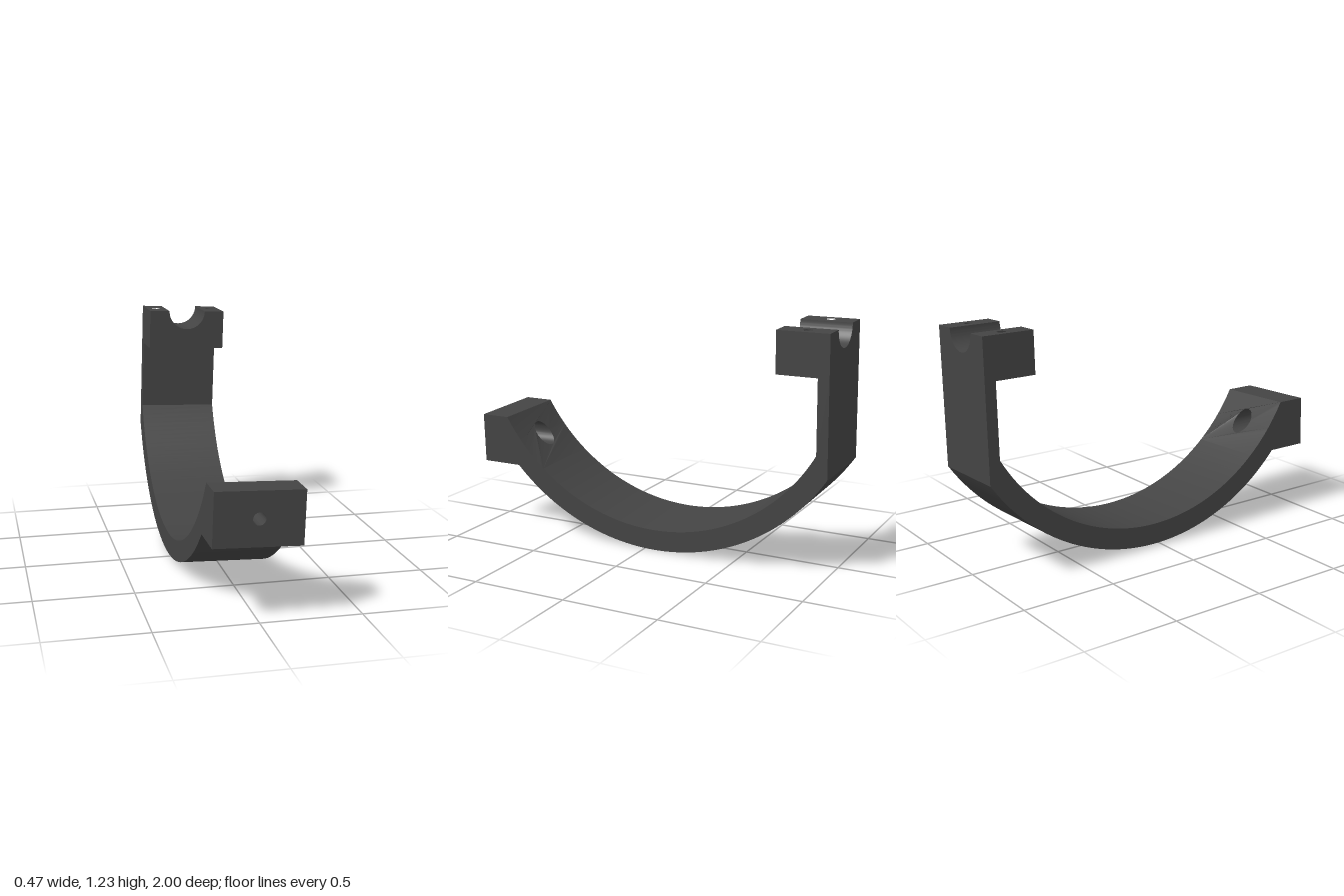
import * as THREE from 'three';
import { toCreasedNormals } from 'three/addons/utils/BufferGeometryUtils.js';

const HALF = 0.216;                                  // half width of the strap
const ARC = { z: -0.05, y: 1.14, outer: 1.14, inner: 1.03 };
const Y = { blockLow: 0.359, blockTop: 0.625, clampLow: 1.005, top: 1.22 };
const GROOVE = 0.104;

// half-chord of the arc at a given height
const chord = (r, y) => Math.sqrt(r * r - (ARC.y - y) ** 2);

// arc points (z, y) running between two heights, front (+z) to back
function arcPoints(r, yFront, yBack, n = 64) {
  const a0 = Math.atan2(yFront - ARC.y, chord(r, yFront));
  const a1 = Math.atan2(yBack - ARC.y, -chord(r, yBack));
  return Array.from({ length: n + 1 }, (_, i) => {
    const a = a0 + (a1 - a0) * i / n;
    return new THREE.Vector2(ARC.z + r * Math.cos(a), ARC.y + r * Math.sin(a));
  });
}

const poly = (pts) => new THREE.Shape(pts.map((p) => new THREE.Vector2(p[0], p[1])));

const drill = (shape, x, y, r) => {
  shape.holes.push(new THREE.Path().absarc(x, y, r, 0, Math.PI * 2, true));
  return shape;
};

const extrude = (shape, depth) =>
  new THREE.ExtrudeGeometry(shape, { depth, bevelEnabled: false, curveSegments: 24 });

export function createModel() {
  const model = new THREE.Group();
  const bracket = new THREE.Group();
  bracket.name = 'bracket';
  const material = new THREE.MeshStandardMaterial({ color: 0x444444 });
  const add = (name, geometry) => {
    const mesh = new THREE.Mesh(toCreasedNormals(geometry, 0.3), material);
    mesh.name = name;
    bracket.add(mesh);
  };

  // curved strap with the upright back plate
  const innerZ = ARC.z - chord(ARC.inner, Y.blockTop);
  const profile = new THREE.Shape([
    ...arcPoints(ARC.outer, Y.blockLow, 0.508),
    new THREE.Vector2(-1, 0.508),
    new THREE.Vector2(-1, Y.clampLow),
    new THREE.Vector2(innerZ, Y.clampLow),
    ...arcPoints(ARC.inner, Y.blockLow, Y.blockTop).reverse(),
  ]);
  add('strap', extrude(profile, HALF * 2).translate(0, 0, -HALF).rotateY(-Math.PI / 2));

  // front block: outer slab with the narrow screw hole
  const holeY = 0.4925, seatZ = 0.87;
  const face = poly([[-HALF, Y.blockLow], [HALF, Y.blockLow], [HALF, Y.blockTop], [-HALF, Y.blockTop]]);
  add('frontBlock', extrude(drill(face, 0, holeY, 0.031), 1 - seatZ).translate(0, 0, seatZ));

  // front block: inner part with the wide screw recess, its back bent onto the arc
  const side = Array.from({ length: 17 }, (_, i) => Y.blockLow + (Y.blockTop - Y.blockLow) * i / 16);
  const rim = poly([...side.map((y) => [HALF, y]), ...side.map((y) => [-HALF, y]).reverse()]);
  const recess = extrude(drill(rim, 0, holeY, 0.06), 1);
  const pos = recess.attributes.position;
  for (let i = 0; i < pos.count; i++) {
    pos.setZ(i, pos.getZ(i) > 0.5 ? seatZ : ARC.z + chord(ARC.inner, pos.getY(i)));
  }
  add('frontBlockRecess', recess);

  // clamp saddle: middle piece with the round groove
  const saddle = new THREE.Shape();
  saddle.moveTo(-GROOVE, Y.top);
  saddle.lineTo(-GROOVE, Y.clampLow);
  saddle.lineTo(GROOVE, Y.clampLow);
  saddle.lineTo(GROOVE, Y.top);
  saddle.absarc(0, Y.top, GROOVE, 0, -Math.PI, true);
  add('clampSaddle', extrude(saddle, 0.27).translate(0, 0, -1));

  // clamp cheeks with vertical bolt holes
  for (const s of [1, -1]) {
    const cheek = poly([[s * GROOVE, 0.73], [s * HALF, 0.73], [s * HALF, 1], [s * GROOVE, 1]]);
    drill(cheek, s * 0.16, 0.87, 0.022);
    add(s > 0 ? 'leftCheek' : 'rightCheek',
      extrude(cheek, Y.top - Y.clampLow).rotateX(-Math.PI / 2).translate(0, Y.clampLow, 0));
  }

  // the whole bracket leans slightly sideways
  bracket.rotation.z = -0.0345;
  bracket.position.set(-0.021, 0.0075, 0);
  model.add(bracket);
  return model;
}
